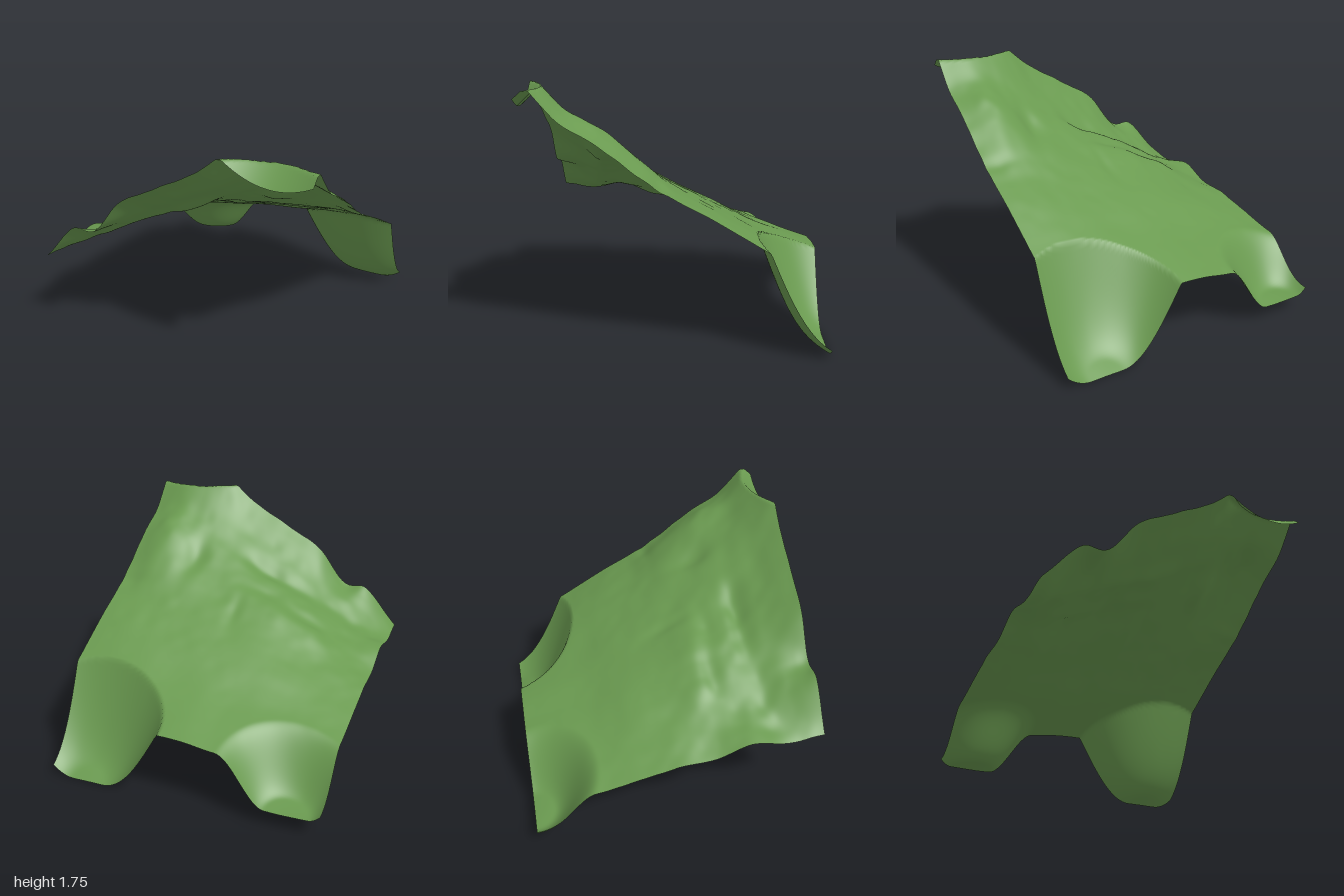
import * as THREE from 'three';

// Broad heights of the hillside: rows run back to front, columns run from -x to +x
const ROWS = [
  [0.46, 0.45, 0.46, 0.48, 0.51, 0.51, 0.51, 0.51, 0.51],
  [0.46, 0.50, 0.53, 0.56, 0.60, 0.62, 0.64, 0.65, 0.65],
  [0.49, 0.55, 0.60, 0.65, 0.70, 0.73, 0.77, 0.79, 0.79],
  [0.56, 0.63, 0.71, 0.78, 0.83, 0.87, 0.91, 0.94, 0.94],
  [0.62, 0.70, 0.80, 0.89, 0.95, 1.00, 1.05, 1.08, 1.08],
  [0.65, 0.76, 0.91, 1.02, 1.08, 1.13, 1.22, 1.29, 1.24],
  [0.74, 0.80, 0.95, 1.07, 1.17, 1.27, 1.39, 1.49, 1.43],
  [0.70, 0.86, 1.00, 1.16, 1.29, 1.43, 1.56, 1.63, 1.58],
  [0.73, 1.01, 1.12, 1.37, 1.50, 1.65, 1.85, 1.92, 1.88],
];
const SUMMIT = 1.76;

// Small gullies (positive depth) and mounds (negative): x, z, radius x, radius z, depth
const RELIEF = [
  [-0.10, 0.61, 0.28, 0.07, 0.040],
  [-0.65, 0.66, 0.20, 0.08, 0.025],
  [-0.42, 0.34, 0.18, 0.07, 0.030],
  [-0.12, 0.38, 0.12, 0.06, 0.020],
  [0.50, 0.42, 0.08, 0.15, 0.045],
  [0.05, 0.12, 0.05, 0.15, 0.015],
  [0.90, 0.12, 0.16, 0.05, 0.015],
  [-0.88, 0.75, 0.08, 0.16, 0.020],
  [-0.59, 1.00, 0.10, 0.15, 0.050],
  [-0.38, 1.00, 0.10, 0.15, -0.035],
];

// Smooth curve through evenly spaced values, t from 0 to 1
function spline(values, t) {
  const n = values.length - 1;
  const i = Math.min(Math.floor(t * n), n - 1);
  const f = t * n - i;
  const b = values[i], c = values[i + 1];
  const a = i > 0 ? values[i - 1] : 2 * b - c;
  const d = i + 2 <= n ? values[i + 2] : 2 * c - b;
  return b + 0.5 * f * (c - a + f * (2 * a - 5 * b + 4 * c - d + f * (3 * (b - c) + d - a)));
}

// Distance from a point on the back edge, stretched along each axis
const reach = (x, z, cx, sx, sz) => Math.hypot((x - cx) / sx, (z + 1) / sz);

// Seeded smooth noise between -1 and 1
function hash(i, j) {
  const s = Math.sin(i * 127.1 + j * 311.7 + 5.3) * 43758.5453;
  return 2 * (s - Math.floor(s)) - 1;
}
function noise(x, z) {
  const i = Math.floor(x), j = Math.floor(z);
  const u = THREE.MathUtils.smoothstep(x - i, 0, 1);
  const v = THREE.MathUtils.smoothstep(z - j, 0, 1);
  const { lerp } = THREE.MathUtils;
  return lerp(lerp(hash(i, j), hash(i + 1, j), u), lerp(hash(i, j + 1), hash(i + 1, j + 1), u), v);
}

function heightAt(x, z) {
  let y = spline(ROWS.map((row) => spline(row, (x + 1) / 2)), (z + 1) / 2);

  // Roughness grows toward the high front
  const rough = 0.002 + 0.008 * THREE.MathUtils.smoothstep(z, -0.7, 0.6);
  y += rough * (noise(x * 5, z * 5) + 0.5 * noise(x * 11 + 7, z * 11));
  for (const [cx, cz, rx, rz, depth] of RELIEF) {
    y -= depth * Math.exp(-(((x - cx) / rx) ** 2) - ((z - cz) / rz) ** 2);
  }

  // Deep hollow with a crisp rim at the back
  const t = THREE.MathUtils.clamp((0.47 - reach(x, z, 0.72, 1.22, 1)) / 0.37, 0, 1);
  y -= 0.5 * Math.sin(t * Math.PI / 2);

  // Shallower hollow with a soft rim beside it
  y -= 0.33 * (1 - THREE.MathUtils.smoothstep(reach(x, z, -0.77, 1, 0.95), 0.15, 0.5));

  // Level summit with a scoop cut out of its front
  y = Math.min(y, SUMMIT);
  const rim = 0.87 + 0.13 * ((x - 0.75) / 0.33) ** 2;
  if (x > 0.4 && z > rim) y = Math.min(y, SUMMIT - 0.92 * (z - rim));
  return y;
}

export function createModel() {
  const grass = new THREE.MeshStandardMaterial({ color: 0x6a9a50, side: THREE.DoubleSide });
  grass.name = 'grass green';

  // Square sheet raised into a hillside
  const geometry = new THREE.PlaneGeometry(2, 2, 140, 140).rotateX(-Math.PI / 2);
  const p = geometry.attributes.position;
  for (let i = 0; i < p.count; i++) p.setY(i, heightAt(p.getX(i), p.getZ(i)));
  geometry.computeBoundingBox();
  geometry.translate(0, -geometry.boundingBox.min.y, 0);
  geometry.computeVertexNormals();

  const hillside = new THREE.Mesh(geometry, grass);
  hillside.name = 'hillside';
  const group = new THREE.Group();
  group.name = 'terrain';
  group.add(hillside);
  return group;
}
